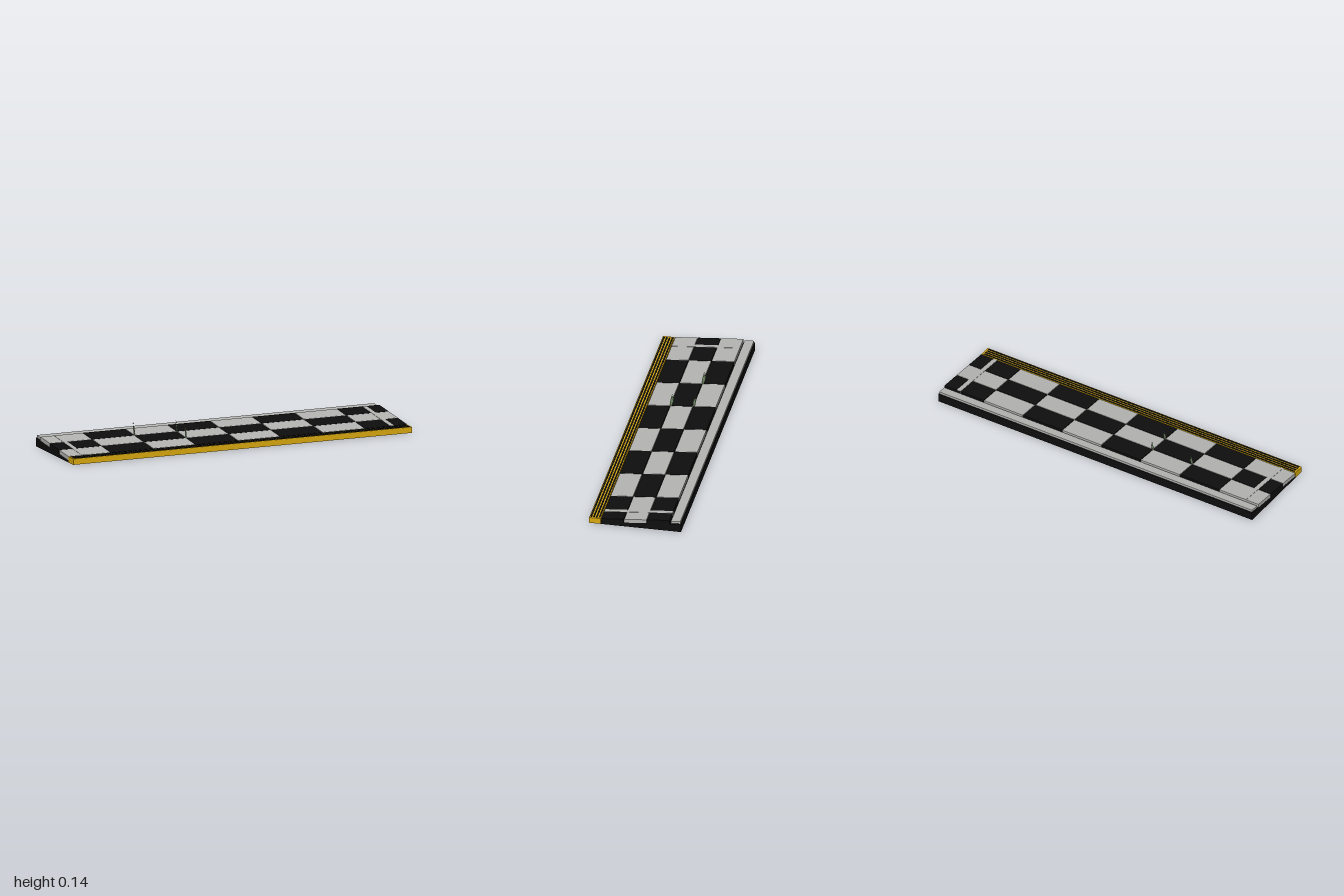
import * as THREE from 'three';

const SLOPE = 0.085; // rise of the paving towards the back
const BASE = 0.028, TOP = 0.049; // slab and tile heights at z = 0

function material(name, color, side = THREE.FrontSide) {
  const m = new THREE.MeshStandardMaterial({ color, side });
  m.name = name;
  return m;
}

// Box whose top and bottom follow the slope; flatBottom keeps the underside on the ground
function slopedBox(x0, x1, z0, z1, y0, y1, flatBottom = false) {
  const g = new THREE.BoxGeometry(x1 - x0, y1 - y0, z1 - z0);
  g.translate((x0 + x1) / 2, (y0 + y1) / 2, (z0 + z1) / 2);
  const p = g.attributes.position, mid = (y0 + y1) / 2;
  for (let i = 0; i < p.count; i++) {
    if (flatBottom && p.getY(i) < mid) continue;
    p.setY(i, p.getY(i) - SLOPE * p.getZ(i));
  }
  g.computeVertexNormals();
  return g;
}

// Pointed leaf standing in the y-z plane, root at the origin
function bladeGeometry(height, width, lean) {
  const s = new THREE.Shape();
  s.moveTo(0, 0);
  s.lineTo(lean * 0.4 - width / 2, height * 0.4);
  s.lineTo(lean, height);
  s.lineTo(lean * 0.4 + width / 2, height * 0.4);
  s.closePath();
  return new THREE.ShapeGeometry(s).rotateY(Math.PI / 2);
}

export function createModel() {
  const model = new THREE.Group();
  const black = material('black stone', 0x0e0e0e);
  const gray = material('gray stone', 0xb5b5b3);
  const yellow = material('yellow edging', 0xd9a90f);
  const green = material('grass green', 0x728a66, THREE.DoubleSide);

  function add(name, geometry, mat, parent = model) {
    const mesh = new THREE.Mesh(geometry, mat);
    mesh.name = name;
    parent.add(mesh);
    return mesh;
  }

  // Wedge-shaped slab
  add('baseSlab', slopedBox(-1, 1, -0.253, 0.19, 0, BASE, true), black);

  // Checkered tiles, three rows of eight with narrow joints
  const tiles = new THREE.Group();
  tiles.name = 'tiles';
  model.add(tiles);
  const joint = 0.0015, depth = 0.126;
  for (let row = 0; row < 3; row++) {
    for (let col = 0; col < 8; col++) {
      const x = -1 + col * 0.25, z = -0.19 + row * depth;
      add('tile', slopedBox(
        x + (col ? joint : 0), x + 0.25 - (col < 7 ? joint : 0),
        z + (row ? joint : 0), z + depth - joint, BASE, TOP),
      (row + col) % 2 ? black : gray, tiles);
    }
  }

  // Cross strips near both ends
  for (const side of [-1, 1]) {
    add('crossStrip', slopedBox(side * 0.91 - 0.012, side * 0.91 + 0.012,
      -0.19, 0.187, BASE, TOP + 0.0015), gray);
  }

  // Lower kerb along the back
  add('backKerb', slopedBox(-0.996, 0.996, -0.249, -0.197, BASE, BASE + 0.0135), gray);

  // Yellow front edging with raised black grip strips
  const edge = new THREE.BoxGeometry(2, 0.0325, 0.064);
  edge.translate(0, 0.01625, 0.222);
  add('frontEdging', edge, yellow);
  for (let i = 0; i < 4; i++) {
    const grip = new THREE.BoxGeometry(1.98, 0.0015, 0.009);
    grip.translate(0, 0.0331, 0.199 + i * 0.0155);
    add('gripStrip', grip, black);
  }

  // Grass tufts growing from the tile joints
  for (const [x, z, size] of [[-0.5, -0.064, 1], [-0.25, -0.064, 0.85], [-0.25, 0.062, 0.98]]) {
    const tuft = new THREE.Group();
    tuft.name = 'grassTuft';
    tuft.position.set(x, TOP - SLOPE * z - 0.008, z);
    tuft.scale.setScalar(size);
    model.add(tuft);
    for (let i = 0; i < 8; i++) {
      const height = 0.06 + ((i * 5) % 8) * 0.0042;
      const blade = add('grassBlade', bladeGeometry(height, 0.0075, 0.011 + i * 0.0012), green, tuft);
      blade.position.set(((i * 3) % 8 - 3.5) * 0.0012, 0, 0.003 - i * 0.0012);
      blade.rotation.y = ((i * 3) % 8 - 3.5) * 0.14;
      blade.rotation.z = -((i * 3) % 8 - 3.5) * 0.018;
    }
  }

  return model;
}
